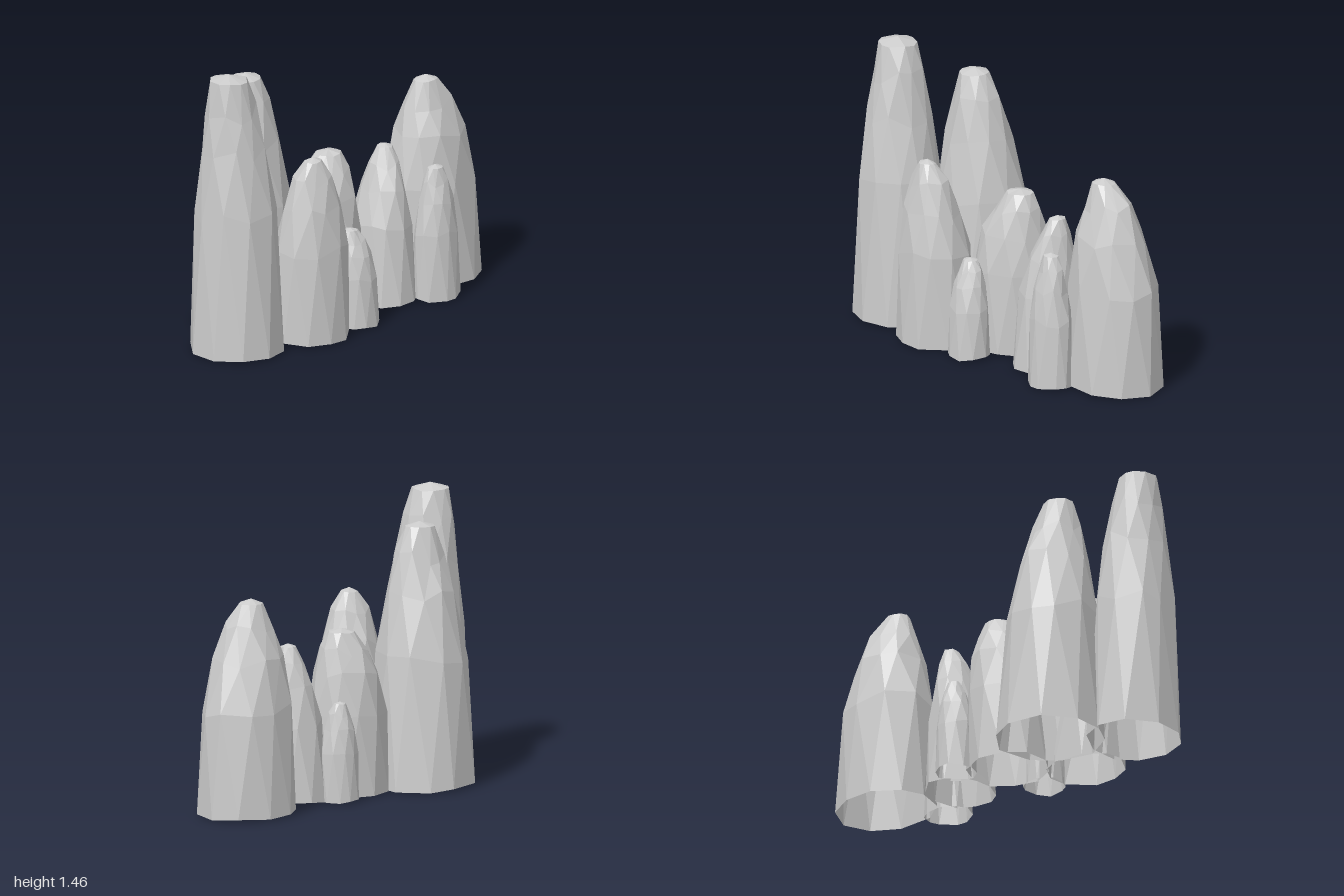
import * as THREE from 'three';

const SIDES = 10;
const RING_HEIGHTS = [0, 0.5, 0.73, 0.87, 0.98];

// Smooth taper: the higher the power, the later the pillar narrows to its top
const taper = (t, power) => Math.pow(t / 0.98, power);

function seeded(seed) {
  let s = seed;
  return () => (s = (s * 16807) % 2147483647) / 2147483647;
}

// Remap values so each ring spans exactly centre - radius .. centre + radius
function fit(values, centre, radius) {
  const lo = Math.min(...values), hi = Math.max(...values);
  return values.map((v) => centre + radius * (2 * (v - lo) / (hi - lo) - 1));
}

// Faceted, open-bottomed rock pillar: staggered rings that shrink and lean toward the tip
function pillarGeometry({ base, radius, height, top, topScale, power, seed }) {
  const rand = seeded(seed);
  const jitter = (amount) => (rand() - 0.5) * amount;
  const start = rand() * Math.PI;
  const positions = [], index = [];
  const lastRing = RING_HEIGHTS.length - 1;

  RING_HEIGHTS.forEach((t, r) => {
    const k = taper(t, power);
    const scale = 1 - (1 - topScale) * k;
    const angles = Array.from({ length: SIDES }, (_, i) =>
      start + ((i + r / 2 + jitter(0.35)) / SIDES) * Math.PI * 2);
    const xs = fit(angles.map(Math.cos), base[0] + (top[0] - base[0]) * k, radius[0] * scale);
    const zs = fit(angles.map(Math.sin), base[1] + (top[1] - base[1]) * k, radius[1] * scale);
    for (let i = 0; i < SIDES; i++) {
      const dy = r === 0 ? rand() * 0.015 : jitter(r === lastRing ? 0.01 : 0.06) * height;
      positions.push(xs[i], t * height + dy, zs[i]);
    }
  });
  positions.push(top[0], height, top[1]);

  const tip = RING_HEIGHTS.length * SIDES;
  for (let r = 0; r <= lastRing; r++) {
    for (let i = 0; i < SIDES; i++) {
      const j = (i + 1) % SIDES, a = r * SIDES, b = a + SIDES;
      if (r === lastRing) index.push(a + i, tip, a + j);
      else index.push(a + i, b + i, a + j, b + i, b + j, a + j);
    }
  }

  const geometry = new THREE.BufferGeometry();
  geometry.setAttribute('position', new THREE.Float32BufferAttribute(positions, 3));
  geometry.setIndex(index);
  const flat = geometry.toNonIndexed();
  flat.computeVertexNormals();
  return flat;
}

export function createModel() {
  const group = new THREE.Group();
  group.name = 'rockPillars';
  const stone = new THREE.MeshStandardMaterial({
    color: 0xcccccc, flatShading: true, side: THREE.DoubleSide,
  });

  // base and top are [x, z] centres, radius is [x, z] at the ground
  const addPillar = (name, base, radius, height, top, topScale, power) => {
    const seed = 1237 * (group.children.length + 3);
    const mesh = new THREE.Mesh(
      pillarGeometry({ base, radius, height, top, topScale, power, seed }), stone);
    mesh.name = name;
    group.add(mesh);
  };

  // Front cluster
  addPillar('tallFrontPillar', [0.125, 0.765], [0.245, 0.235], 1.465, [0.11, 0.81], 0.4, 2.1);
  addPillar('broadRightPillar', [-0.158, 0.455], [0.267, 0.275], 1.34, [-0.12, 0.48], 0.28, 2.3);
  addPillar('leftPillar', [0.238, 0.36], [0.182, 0.21], 0.965, [0.27, 0.38], 0.22, 3.6);

  // Middle cluster
  addPillar('middlePillar', [-0.02, 0.055], [0.2, 0.215], 0.845, [-0.025, 0], 0.32, 4);
  addPillar('smallLeftPillar', [0.26, 0.06], [0.1, 0.11], 0.51, [0.23, 0.085], 0.35, 3.5);
  addPillar('smallRightPillar', [-0.16, -0.165], [0.1, 0.105], 0.51, [-0.17, -0.17], 0.3, 3.5);
  addPillar('innerBackPillar', [0.04, -0.305], [0.19, 0.165], 0.81, [0.02, -0.35], 0.22, 2.6);

  // Back cluster
  addPillar('smallBackPillar', [0.21, -0.53], [0.11, 0.13], 0.7, [0.205, -0.525], 0.32, 2.9);
  addPillar('largeBackPillar', [-0.045, -0.73], [0.225, 0.27], 1.09, [-0.02, -0.67], 0.24, 3.3);
  return group;
}
